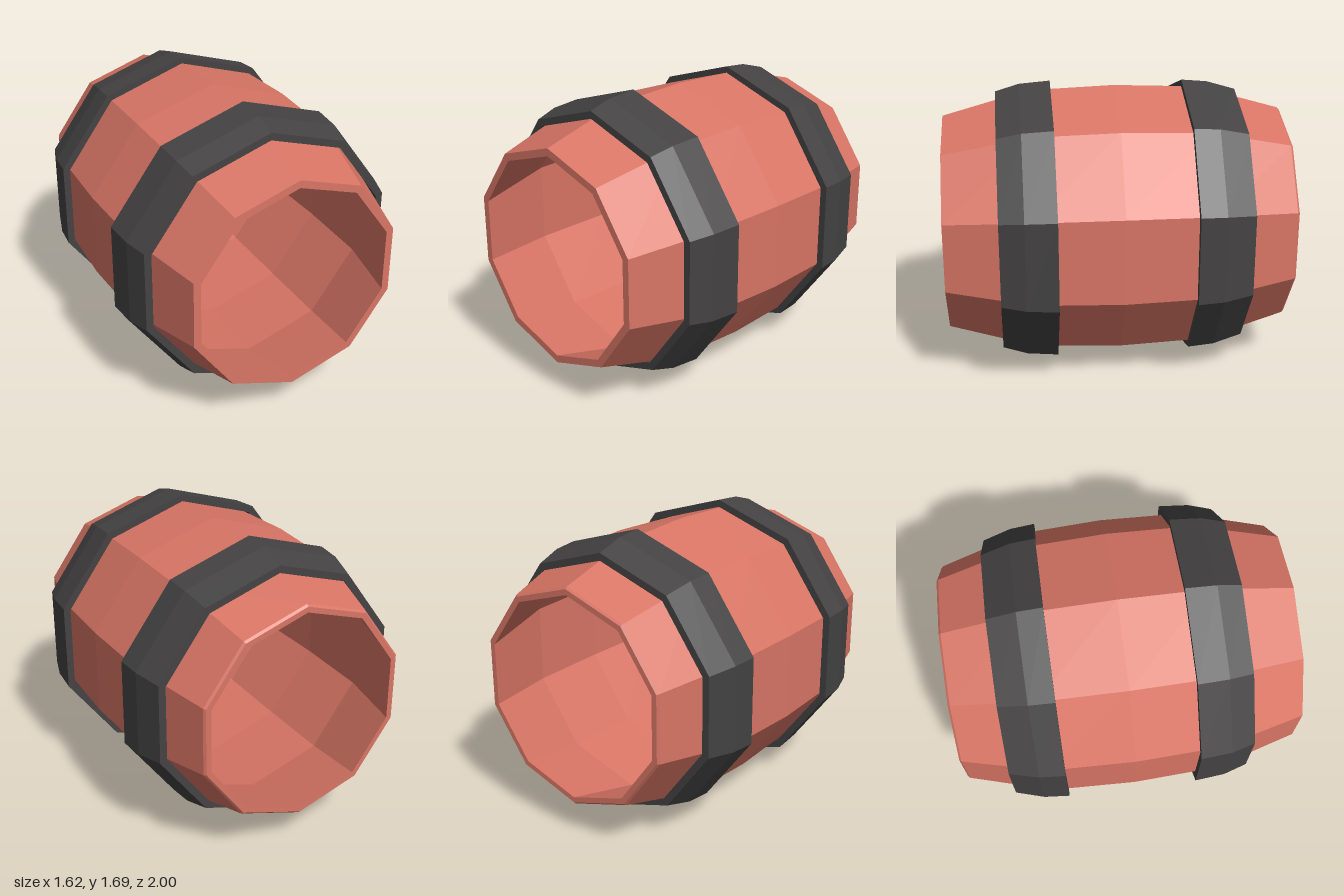
import * as THREE from 'three';

const SIDES = 10;
const AXIS_HEIGHT = 0.847;

// Closed ring of [radius, z] points, outer wall running back to front, then inner wall back again
function ring(name, profile, color) {
  const points = [...profile, profile[0]].map(([r, z]) => new THREE.Vector2(r, z));
  const geometry = new THREE.LatheGeometry(points, SIDES).rotateX(Math.PI / 2);
  const material = new THREE.MeshStandardMaterial({ color, flatShading: true });
  const mesh = new THREE.Mesh(geometry, material);
  mesh.name = name;
  mesh.position.y = AXIS_HEIGHT;
  return mesh;
}

// Hoop from its outer profile, with the inner wall offset inward
function hoop(name, outer) {
  const inner = outer.map(([r, z]) => [r - 0.044, z]).reverse();
  const mesh = ring(name, [...outer, ...inner], 0x444242);
  mesh.scale.x = 1.008;
  return mesh;
}

export function createModel() {
  const group = new THREE.Group();
  group.name = 'barrel';

  // Hollow, open-ended wooden body with a slightly bevelled back rim
  group.add(ring('barrelBody', [
    [0.638, -1], [0.65, -0.988], [0.79, -0.5], [0.81, 0], [0.79, 0.5], [0.65, 1],
    [0.605, 1], [0.745, 0.5], [0.765, 0], [0.745, -0.5], [0.605, -1],
  ], 0xd87565));

  // Metal hoops, the front one a little larger
  group.add(hoop('frontHoop', [[0.845, 0.37], [0.83, 0.55], [0.788, 0.69]]));
  group.add(hoop('backHoop', [[0.77, -0.725], [0.82, -0.555], [0.833, -0.405]]));

  return group;
}
